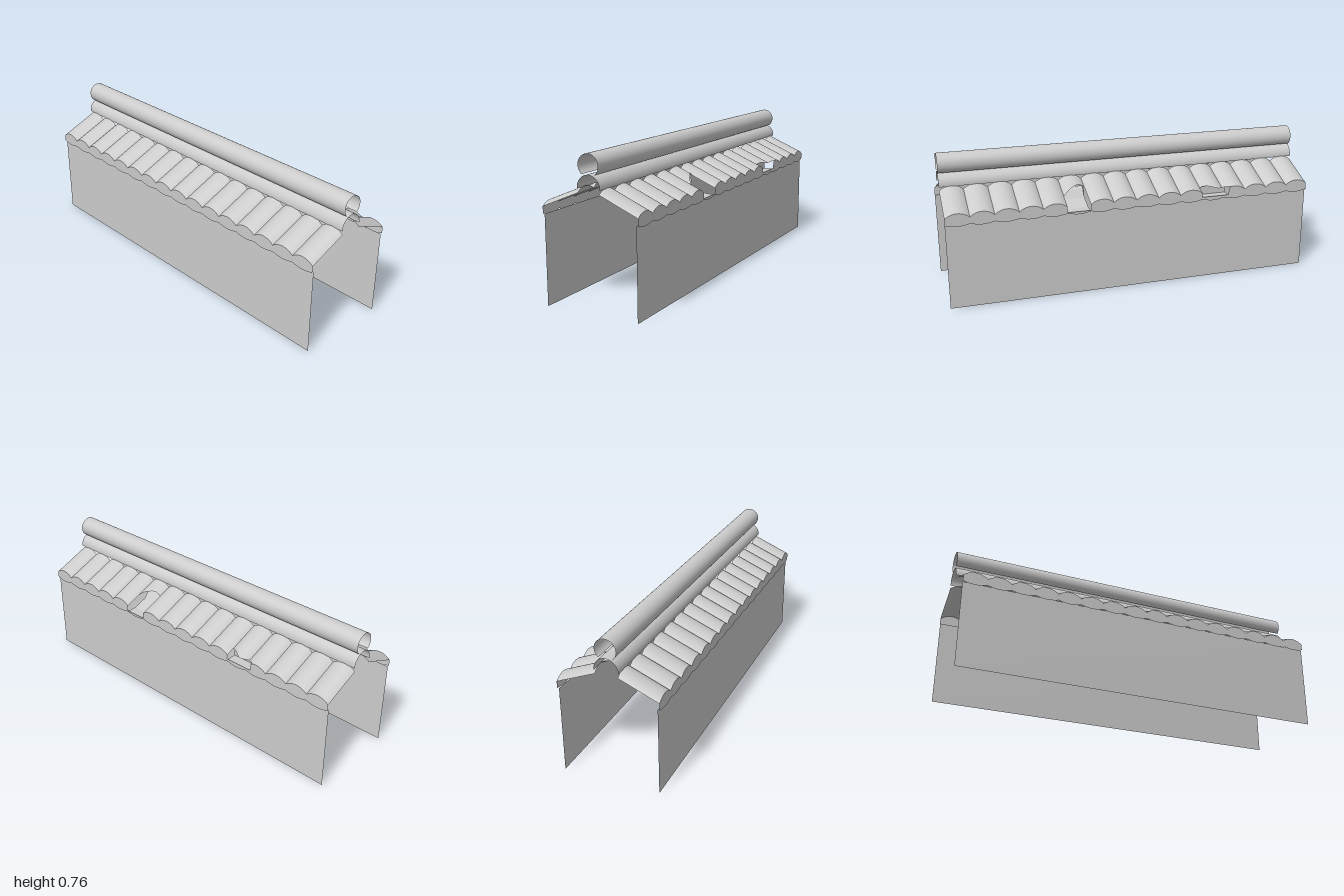
import * as THREE from 'three';
import { mergeGeometries } from 'three/addons/utils/BufferGeometryUtils.js';

const TILES = 16, PITCH = 2 / TILES;
const TOP_X = 0.058, EAVE_X = 0.262, WALL_X = 0.252;
const material = new THREE.MeshStandardMaterial({ color: 0xcccccc, side: THREE.DoubleSide });

// Surface through fn(u, v) -> [x, y, z]; u runs along z, v outward or down
function surface(fn, nu, nv, flip = false) {
  const pos = [], idx = [];
  for (let i = 0; i <= nu; i++)
    for (let j = 0; j <= nv; j++) pos.push(...fn(i / nu, j / nv));
  for (let i = 0; i < nu; i++)
    for (let j = 0; j < nv; j++) {
      const a = i * (nv + 1) + j, b = a + nv + 1;
      if (flip) idx.push(a, a + 1, b, b, a + 1, b + 1);
      else idx.push(a, b, a + 1, b, b + 1, a + 1);
    }
  const g = new THREE.BufferGeometry();
  g.setAttribute('position', new THREE.Float32BufferAttribute(pos, 3));
  g.setIndex(idx);
  g.computeVertexNormals();
  return g;
}

// Linear interpolation through [z, value] pairs
function along(points, z) {
  for (let i = 1; i < points.length; i++) {
    const [z0, a] = points[i - 1], [z1, b] = points[i];
    if (z <= z1) return a + (b - a) * Math.max(0, (z - z0) / (z1 - z0));
  }
  return points[points.length - 1][1];
}

// Arc across one tile, and the straight slope of its valleys
const bump = u => Math.sqrt(0.0935 ** 2 - (PITCH * (u - 0.5)) ** 2) - 0.0695;
const slopeY = x => 0.575 - (x - TOP_X) * (0.085 / (EAVE_X - TOP_X));

// Broken lower edges, right-hand slope only: tile index -> edge x along z
const breaks = {
  3: [[-0.54, EAVE_X], [-0.5, 0.235]],
  4: [[-0.5, 0.235], [-0.47, EAVE_X], [-0.45, EAVE_X], [-0.385, 0.222], [-0.375, 0.222]],
  10: [[0.25, 0.13], [0.28, 0.13], [0.375, 0.185]],
};
// Stretches where the eave strip is broken off: [z0, z1, remaining top y]
const gaps = [[-0.53, -0.375, 0.468], [0.25, 0.375, 0.46]];

function tileRow(side) {
  const parts = [];
  for (let i = 0; i < TILES; i++) {
    const edge = side > 0 && breaks[i];
    parts.push(surface((u, v) => {
      const z = -1 + (i + u) * PITCH;
      const x = TOP_X + v * ((edge ? along(edge, z) : EAVE_X) - TOP_X);
      return [side * x, slopeY(x) + bump(u), z];
    }, edge ? 24 : 12, 1, side < 0));
  }
  return mergeGeometries(parts);
}

function eaveStrip(side) {
  const parts = [];
  for (let i = 0; i < TILES; i++) {
    const broken = side > 0 && breaks[i];
    parts.push(surface((u, v) => {
      const z = -1 + (i + u) * PITCH;
      const mid = -1 + (i + 0.5) * PITCH;
      let top = slopeY(EAVE_X) + bump(u);
      for (const [z0, z1, y] of gaps)
        if (broken && z >= z0 && z <= z1 && mid < z1 + PITCH / 2 && mid > z0 - PITCH / 2) top = y;
      const bottom = 0.455 - 0.01 * Math.sin(Math.PI * u);
      return [side * EAVE_X, top + (bottom - top) * v, z];
    }, broken ? 24 : 12, 1, side < 0));
  }
  return mergeGeometries(parts);
}

// Open round ridge cover, an arc swept along z
function ridge(y, r, from, to) {
  return surface((u, v) => {
    const a = THREE.MathUtils.degToRad(from + (to - from) * v);
    return [r * Math.cos(a), y + r * Math.sin(a), -1 + 2 * u];
  }, 1, 36);
}

// Folded sheet: [x, y] points carried from z0 to z1, each fold kept sharp
function sheet(points, z0, z1) {
  return mergeGeometries(points.slice(1).map((p, i) => surface((u, v) => {
    const q = points[i];
    return [q[0] + (p[0] - q[0]) * v, q[1] + (p[1] - q[1]) * v, z0 + (z1 - z0) * u];
  }, 1, 1)));
}

// Flat side of a cavity, at one z
function cheek(points, z) {
  const g = new THREE.ShapeGeometry(new THREE.Shape(points.map(p => new THREE.Vector2(...p))));
  return g.translate(0, 0, z);
}

export function createModel() {
  const group = new THREE.Group();
  const add = (name, geometry) => {
    const mesh = new THREE.Mesh(geometry, material);
    mesh.name = name;
    group.add(mesh);
  };

  for (const [name, side] of [['left', 1], ['right', -1]]) {
    add(name + 'RoofTiles', tileRow(side));
    add(name + 'EaveStrip', eaveStrip(side));
    add(name + 'Wall', surface((u, v) => [side * WALL_X, 0.455 * (1 - v), -1 + 2 * u], 1, 1, side < 0));
  }

  // Two stacked ridge covers
  add('lowerRidgeCover', ridge(0.6, 0.062, 185, -5));
  add('upperRidgeCover', ridge(0.705, 0.055, 230, -50));

  // Hollow below the missing tile
  const bed = [[0.08, 0.54], [0.1, 0.53], [0.13, 0.487], [0.205, 0.458], [EAVE_X, 0.455]];
  add('holeBed', sheet(bed, 0.25, 0.375));
  add('holeCheek', cheek([[0.08, 0.54], [0.1, 0.555], [0.125, 0.525], [0.13, 0.487],
    [0.205, 0.455], [0.205, 0.41], [0.085, 0.515]], 0.252));

  // Recess behind the chipped eave
  add('chipRecess', sheet([[0.205, 0.51], [0.205, 0.465], [EAVE_X, 0.465]], -0.53, -0.375));
  return group;
}
